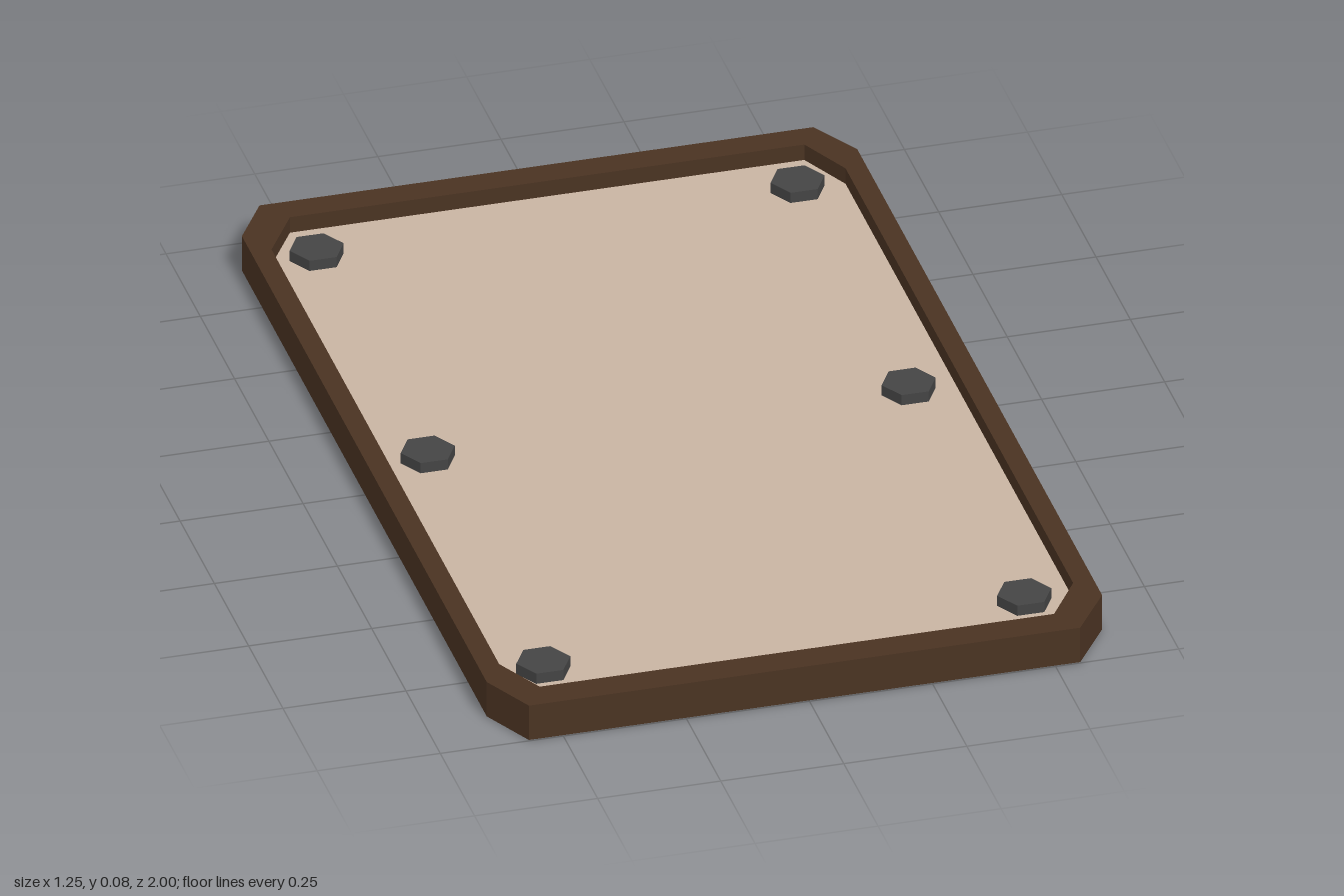
import * as THREE from 'three';

const mat = (name, color, side = THREE.FrontSide) => {
  const m = new THREE.MeshStandardMaterial({ color, side });
  m.name = name;
  return m;
};

// Corner-cut outlines seen from above, as [x, z]
const outer = [
  [-0.57, 1], [0.55, 1], [0.625, 0.89], [0.625, -0.895],
  [0.565, -1], [-0.56, -1], [-0.625, -0.895], [-0.625, 0.89],
];
const inner = [
  [-0.53, 0.935], [0.515, 0.935], [0.583, 0.83], [0.583, -0.83],
  [0.53, -0.94], [-0.515, -0.94], [-0.583, -0.83], [-0.583, 0.83],
];
const points = (outline, sign) => outline.map(([x, z]) => new THREE.Vector2(x, sign * z));

export function createModel() {
  const group = new THREE.Group();
  const brown = mat('darkBrown', 0x4a3322);
  const tan = mat('paleTan', 0xc8b4a2);
  const grey = mat('darkGrey', 0x444444);

  const add = (name, geometry, material, x, y, z) => {
    const mesh = new THREE.Mesh(geometry, material);
    mesh.name = name;
    mesh.position.set(x, y, z);
    group.add(mesh);
  };

  // Raised rim around the panel
  const rimShape = new THREE.Shape(points(outer, -1));
  rimShape.holes.push(new THREE.Path(points(inner, -1)));
  const rim = new THREE.ExtrudeGeometry(rimShape, { depth: 0.078, bevelEnabled: false });
  rim.rotateX(-Math.PI / 2);
  add('rim', rim, brown, 0, 0.002, 0);

  // Recessed panel
  const panel = new THREE.ShapeGeometry(new THREE.Shape(points(inner, -1)));
  panel.rotateX(-Math.PI / 2);
  add('panel', panel, tan, 0, 0.045, 0);

  // Underside, facing down
  const base = new THREE.ShapeGeometry(new THREE.Shape(points(outer, 1)));
  base.rotateX(Math.PI / 2);
  add('underside', base, grey, 0, 0, 0);

  // Six hexagonal bolts, points towards the sides
  const bolt = new THREE.CylinderGeometry(0.055, 0.055, 0.024, 6).toNonIndexed();
  bolt.computeVertexNormals();
  bolt.rotateY(Math.PI / 6);
  for (const z of [-0.835, -0.025, 0.818])
    for (const x of [-0.49, 0.487]) add('bolt', bolt, grey, x, 0.056, z);

  return group;
}
